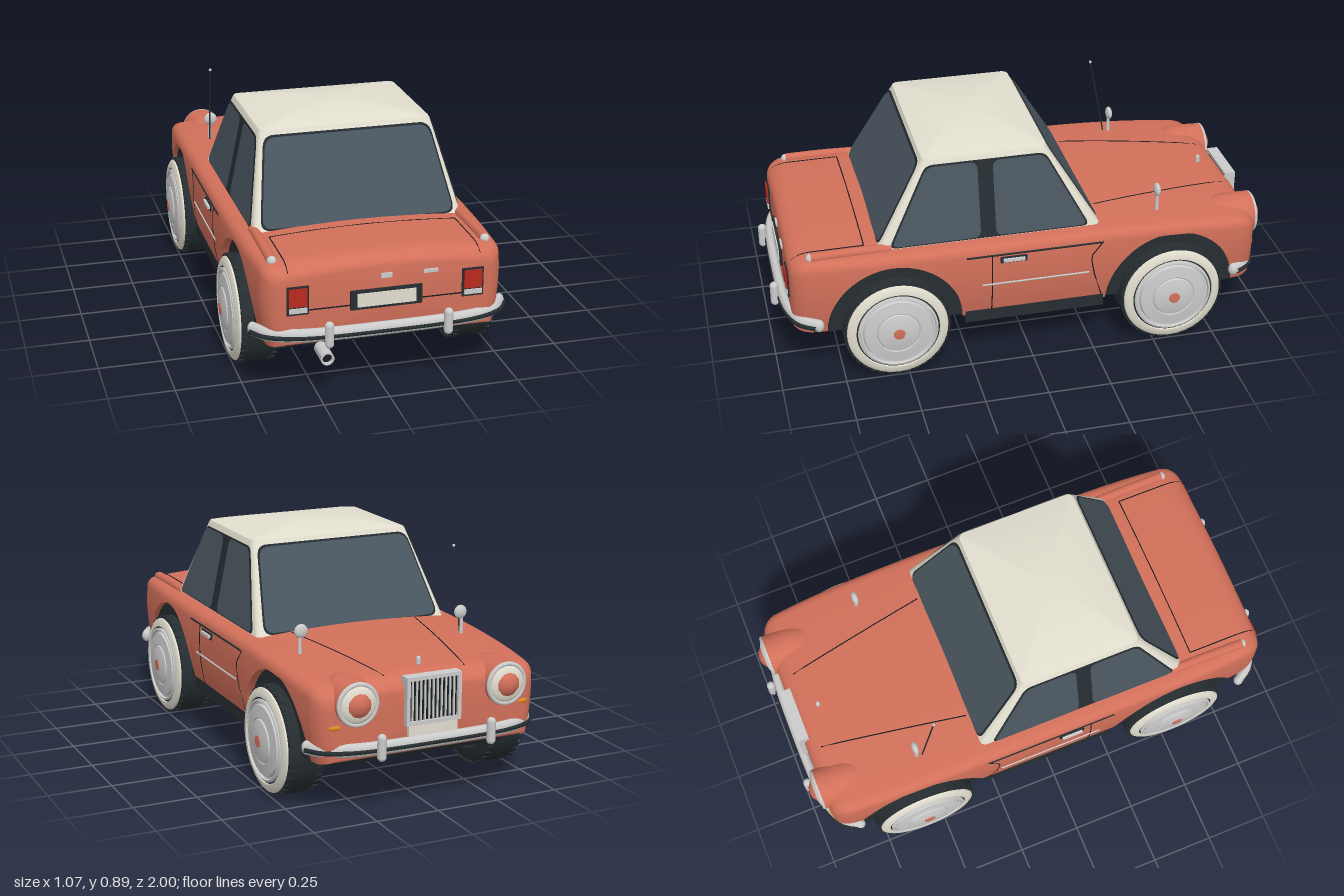
import * as THREE from 'three';
import { toCreasedNormals } from 'three/addons/utils/BufferGeometryUtils.js';

const mat = (color) => new THREE.MeshStandardMaterial({ color, side: THREE.DoubleSide });
const PAINT = mat(0xd2705a), CREAM = mat(0xe2decf), GLASS = mat(0x4a565f), DARK = mat(0x262d30),
  BLACK = mat(0x171c1e), CHROME = mat(0xcccccc), RED = mat(0xb92a20), AMBER = mat(0xe08a20);
const V = (x, y, z) => new THREE.Vector3(x, y, z);
const WHEEL_Y = 0.21, AXLES = [0.54, -0.57], ARCH = 0.265;
const lerp = THREE.MathUtils.lerp;

// Body shape rules: end rounding, half width, height, lower edge
const endT = (z) => Math.min(1, Math.max(0, (Math.abs(z) - 0.85) / 0.085));
const inset = (z) => 1 - Math.sqrt(1 - endT(z) ** 2);
const halfW = (z) => 0.478 - 0.02 * Math.min(1, Math.abs(z) / 0.85) ** 4 - 0.07 * inset(z);
const crownY = (z) => (z < -0.2 ? 0.54 - 0.03 * ((z + 0.2) / 0.65) ** 2 : 0.54) - 0.05 * inset(z);
const sideX = (y, z) => halfW(z) * (1 - 0.05 * ((y - 0.4) / 0.19) ** 2);
const topY = (x, z) => crownY(z) - 0.02 * (x / (halfW(z) - 0.04)) ** 2;
const lowY = (z) => {
  let y = 0.205 + 0.025 * inset(z);
  for (const c of AXLES) {
    const d = Math.abs(z - c);
    if (d < ARCH - 1e-4) y = Math.max(y, WHEEL_Y + Math.sqrt(ARCH * ARCH - d * d));
  }
  return Math.min(y, crownY(z) - 0.062);
};

// Skin a list of equal-length rings
function loft(rings, crease = 0.7) {
  const n = rings[0].length, pos = [], idx = [];
  rings.forEach((r) => r.forEach((p) => pos.push(p.x, p.y, p.z)));
  for (let i = 0; i < rings.length - 1; i++) for (let j = 0; j < n; j++) {
    const a = i * n + j, b = i * n + (j + 1) % n;
    idx.push(a, b, b + n, a, b + n, a + n);
  }
  const g = new THREE.BufferGeometry();
  g.setAttribute('position', new THREE.Float32BufferAttribute(pos, 3));
  g.setIndex(idx);
  return toCreasedNormals(g, crease);
}

function bodyRing(z) {
  const y0 = lowY(z), y1 = crownY(z) - 0.06, half = [V(0, y0, z)];
  for (let i = 0; i <= 6; i++) { const y = lerp(y0, y1, i / 6); half.push(V(sideX(y, z), y, z)); }
  const x1 = sideX(y1, z);
  for (let i = 1; i <= 5; i++) {
    const a = (i / 5) * Math.PI / 2;
    half.push(V(x1 - 0.04 * (1 - Math.cos(a)), y1 + 0.04 * Math.sin(a), z));
  }
  for (let i = 1; i <= 5; i++) { const x = (x1 - 0.04) * (1 - i / 5); half.push(V(x, topY(x, z), z)); }
  return half.concat(half.slice(1, -1).reverse().map((p) => V(-p.x, p.y, p.z)));
}

function bodyGeometry() {
  const zs = [];
  for (let i = 0; i <= 8; i++) { const e = 0.85 + 0.085 * Math.sin(i / 8 * Math.PI / 2); zs.push(e, -e); }
  for (const c of AXLES) for (let i = 0; i <= 28; i++) zs.push(c + ARCH * Math.cos(i / 28 * Math.PI));
  for (const c of AXLES) zs.push(c + ARCH - 0.0003, c - ARCH + 0.0003);
  for (let i = -5; i <= 4; i++) zs.push(i * 0.05);
  zs.sort((a, b) => a - b);
  const rings = zs.map(bodyRing);
  const cap = (r) => r.map((p) => V(0, 0.36, p.z));
  return loft([cap(rings[0]), ...rings, cap(rings[rings.length - 1])]);
}

// Cabin: tapered box with a domed roof
const cabT = (y) => (y - 0.52) / 0.335;
const cabX = (y) => lerp(0.41, 0.34, cabT(y));
const cabRear = (y) => lerp(0.59, 0.4, cabT(y));
const cabFront = (y) => lerp(-0.29, -0.085, cabT(y));
function cabinGeometry() {
  const ring = (yw, y, s) => {
    const w = cabX(yw), zc = (cabRear(yw) + cabFront(yw)) / 2, l = (cabRear(yw) - cabFront(yw)) / 2, r = 0.025, pts = [];
    [[1, 1], [-1, 1], [-1, -1], [1, -1]].forEach(([sx, sz], q) => {
      for (let k = 0; k <= 4; k++) {
        const a = (q + k / 4) * Math.PI / 2;
        pts.push(V(s * (sx * (w - r) + r * Math.cos(a)), y, zc - s * (sz * (l - r) + r * Math.sin(a))));
      }
    });
    return pts;
  };
  const rings = [ring(0.48, 0.48, 1), ring(0.848, 0.848, 1)];
  for (const s of [0.985, 0.9, 0.75, 0.55, 0.3, 0]) rings.push(ring(0.848, 0.857 + 0.036 * (1 - s * s), s));
  return loft(rings, 0.6);
}

// Polygon with rounded corners, laid on a surface by a mapping rule
function panel(points, r, map) {
  const s = new THREE.Shape(), P = points.map((p) => new THREE.Vector2(...p)), n = P.length;
  P.forEach((p, i) => {
    const toward = (q) => p.clone().add(q.clone().sub(p).setLength(r));
    const a = toward(P[(i + n - 1) % n]), b = toward(P[(i + 1) % n]);
    if (i) s.lineTo(a.x, a.y); else s.moveTo(a.x, a.y);
    s.quadraticCurveTo(p.x, p.y, b.x, b.y);
  });
  s.closePath();
  const g = new THREE.ShapeGeometry(s, 6), pos = g.attributes.position;
  for (let i = 0; i < pos.count; i++) pos.setXYZ(i, ...map(pos.getX(i), pos.getY(i)));
  g.computeVertexNormals();
  return g;
}

const tube = (pts, r, n = 32, sides = 8) => new THREE.TubeGeometry(new THREE.CatmullRomCurve3(pts), n, r, sides);
const line = (pts, r = 0.0025) => {
  const path = new THREE.CurvePath();
  for (let i = 0; i < pts.length - 1; i++) path.add(new THREE.LineCurve3(pts[i], pts[i + 1]));
  return new THREE.TubeGeometry(path, (pts.length - 1) * 4, r, 5);
};
const box = (w, h, d) => new THREE.BoxGeometry(w, h, d);
const ball = (r) => new THREE.SphereGeometry(r, 24, 16);
const lathe = (pts) => toCreasedNormals(new THREE.LatheGeometry(pts.map((p) => new THREE.Vector2(...p)), 48), 0.6);

function makeWheel() {
  const g = new THREE.Group();
  const part = (name, geo, m) => { const o = new THREE.Mesh(geo, m); o.name = name; o.rotation.z = -Math.PI / 2; g.add(o); };
  part('tyre', lathe([[0, -0.06], [0.13, -0.06], [0.15, -0.079], [0.18, -0.079], [0.2, -0.068], [0.209, -0.045],
    [0.21, 0], [0.209, 0.045], [0.202, 0.066], [0.185, 0.077], [0.15, 0.079], [0.14, 0.06], [0, 0.06]]), DARK);
  part('whitewall', lathe([[0.163, 0.079], [0.165, 0.084], [0.182, 0.083], [0.197, 0.074], [0.199, 0.068]]), CREAM);
  part('rim', lathe([[0.158, 0.07], [0.157, 0.085], [0.149, 0.088], [0.146, 0.078], [0.138, 0.078], [0.134, 0.088],
    [0.088, 0.094], [0.084, 0.091], [0.08, 0.097], [0.05, 0.104], [0, 0.106]]), CHROME);
  part('hubBadge', lathe([[0.024, 0.1], [0.022, 0.108], [0, 0.11]]), PAINT);
  for (let i = 0; i < 36; i++) { // tread blocks on both shoulders
    const a = i / 36 * Math.PI * 2;
    for (const x of [-0.058, 0.052]) {
      const b = new THREE.Mesh(box(0.03, 0.006, 0.022), DARK);
      b.name = 'tread'; b.position.set(x, 0.206 * Math.cos(a), 0.206 * Math.sin(a)); b.rotation.x = a; g.add(b);
    }
  }
  return g;
}

export function createModel() {
  const car = new THREE.Group();
  car.name = 'car';
  const add = (name, geo, m, x = 0, y = 0, z = 0) => {
    const o = new THREE.Mesh(geo, m); o.name = name; o.position.set(x, y, z); car.add(o); return o;
  };
  add('body', bodyGeometry(), PAINT);
  add('cabin', cabinGeometry(), CREAM);
  add('floor', box(0.7, 0.05, 1.7), BLACK, 0, 0.2, 0);
  add('floorMiddle', box(0.86, 0.05, 0.56), BLACK, 0, 0.2, -0.015);

  // Windscreen and rear window
  const screen = [[-0.375, 0.535], [0.375, 0.535], [0.322, 0.835], [-0.322, 0.835]];
  const border = [[-0.383, 0.528], [0.383, 0.528], [0.328, 0.842], [-0.328, 0.842]];
  for (const [name, fz, s] of [['rearWindow', cabRear, 1], ['windscreen', cabFront, -1]]) {
    add(name + 'Seal', panel(border, 0.04, (x, y) => [s * x, y, fz(y) + s * 0.003]), DARK);
    add(name, panel(screen, 0.04, (x, y) => [s * x, y, fz(y) + s * 0.007]), GLASS);
  }

  for (const s of [1, -1]) {
    // Side windows
    const onSide = (d) => (z, y) => [s * (cabX(y) + d), y, z];
    add('sideWindowSeal', panel([[0.55, 0.525], [-0.245, 0.525], [-0.078, 0.835], [0.39, 0.835]], 0.03, onSide(0.003)), DARK);
    add('rearSideWindow', panel([[0.54, 0.531], [0.19, 0.531], [0.19, 0.829], [0.386, 0.829]], 0.03, onSide(0.007)), GLASS);
    add('doorWindow', panel([[0.13, 0.531], [-0.235, 0.531], [-0.074, 0.829], [0.13, 0.829]], 0.03, onSide(0.007)), GLASS);

    // Wheels and wheel wells
    for (const z of AXLES) {
      const w = makeWheel();
      w.name = 'wheel'; w.position.set(s * 0.426, WHEEL_Y, z); w.rotation.y = s > 0 ? 0 : Math.PI; car.add(w);
      const well = new THREE.CylinderGeometry(0.263, 0.263, 0.12, 40, 1, false, 0, Math.PI);
      well.rotateZ(Math.PI / 2).rotateX(0);
      add('wheelWell', well, DARK, s * 0.388, WHEEL_Y, z);
    }

    // Sill, door seams, trims and handle
    add('sill', box(0.05, 0.05, 0.56), DARK, s * 0.435, 0.2, -0.015);
    const side = (y, z, d = 0) => V(s * (sideX(y, z) + d), y, z);
    const run = (y, z0, z1) => Array.from({ length: 9 }, (_, i) => side(y, lerp(z0, z1, i / 8), 0.001));
    add('doorSeam', line([0.48, 0.42, 0.36, 0.3, 0.22].map((y) => side(y, 0.16))), BLACK);
    add('doorSeam', line([[0.48, -0.285], [0.42, -0.235], [0.34, -0.25], [0.23, -0.285]].map(([y, z]) => side(y, z))), BLACK);
    add('beltTrim', line(run(0.478, 0.26, -0.28), 0.004), DARK);
    add('sideTrim', line(run(0.35, 0.2, -0.23), 0.004), CHROME);
    add('handlePlate', box(0.012, 0.026, 0.105), DARK, s * 0.474, 0.455, 0.075);
    add('doorHandle', box(0.014, 0.012, 0.085), CHROME, s * 0.483, 0.456, 0.075);

    // Rear fender fins with bright tips
    add('fin', tube([V(s * 0.4, 0.522, 0.54), V(s * 0.402, 0.526, 0.7), V(s * 0.404, 0.524, 0.85)], 0.019, 12, 12), PAINT);
    add('finTip', ball(0.018), CHROME, s * 0.404, 0.524, 0.85);

    // Bonnet and boot seams
    const over = (x0, z0, x1, z1) => Array.from({ length: 9 }, (_, i) => {
      const x = lerp(x0, x1, i / 8), z = lerp(z0, z1, i / 8);
      return V(s * x, topY(x, z), z);
    });
    add('bonnetSeam', line(over(0.165, -0.88, 0.27, -0.3)), BLACK);
    add('bootSeam', line([...over(0.362, 0.64, 0.362, 0.92), V(s * 0.362, 0.355, 0.936)]), BLACK);

    // Headlights and indicators
    add('headlightPod', ball(0.086), PAINT, s * 0.305, 0.432, -0.85).scale.z = 1.6;
    const shell = new THREE.CylinderGeometry(0.083, 0.086, 0.09, 32).rotateX(-Math.PI / 2);
    add('headlightShell', shell, PAINT, s * 0.305, 0.432, -0.905);
    add('headlightRing', new THREE.TorusGeometry(0.075, 0.009, 10, 36), CHROME, s * 0.305, 0.432, -0.95);
    add('headlightLens', ball(0.072), CREAM, s * 0.305, 0.432, -0.95).scale.z = 0.3;
    add('indicator', ball(0.02), AMBER, s * 0.385, 0.35, -0.925).scale.set(1.4, 0.7, 0.7);

    // Wing mirrors
    add('mirrorStem', new THREE.CylinderGeometry(0.006, 0.008, 0.08, 10), CHROME, s * 0.345, 0.555, -0.54);
    add('mirror', ball(0.027), CHROME, s * 0.34, 0.605, -0.54).scale.z = 0.5;

    // Tail lights
    add('tailLightFrame', box(0.082, 0.11, 0.02), DARK, s * 0.33, 0.396, 0.931);
    for (let i = 0; i < 3; i++) add('tailLight', box(0.068, 0.022, 0.026), RED, s * 0.33, 0.385 + i * 0.024, 0.934);
    add('reverseLight', box(0.068, 0.018, 0.026), CHROME, s * 0.33, 0.359, 0.934);
  }

  // Bumpers with dark strips and overriders
  for (const [name, e, w] of [['rearBumper', 1, 0.475], ['frontBumper', -1, 0.455]]) {
    const path = (d) => [[-1, 0.84], [-0.91, 0.9], [-0.7, 0.94], [0, 0.956], [0.7, 0.94], [0.91, 0.9], [1, 0.84]]
      .map(([x, z]) => V(x * (w + d), 0, e * (z + d)));
    add(name, tube(path(0), 0.019, 48, 12), CHROME, 0, 0.26, 0).scale.y = 1.4;
    add(name + 'Strip', tube(path(0.014), 0.009, 48, 8), DARK, 0, 0.256, 0);
    for (const s of [1, -1]) {
      add(name + 'End', ball(0.019), CHROME, s * w, 0.26, e * 0.84).scale.y = 1.4;
      add('overrider', new THREE.CapsuleGeometry(0.017, 0.07, 6, 14), CHROME, s * 0.225, 0.27, e * 0.983);
      add('bumperBracket', box(0.03, 0.03, 0.08), DARK, s * 0.225, 0.255, e * 0.92);
    }
  }

  // Boot lid, number plate and badges
  add('bootSeam', box(0.724, 0.004, 0.006), BLACK, 0, 0.355, 0.935);
  add('bootSeam', line([-0.362, -0.2, 0, 0.2, 0.362].map((x) => V(x, topY(x, 0.64), 0.64))), BLACK);
  add('plateFrame', box(0.27, 0.074, 0.02), DARK, 0, 0.374, 0.935);
  add('rearPlate', box(0.222, 0.052, 0.01), CREAM, 0, 0.374, 0.944);
  add('badge', box(0.042, 0.018, 0.012), CHROME, 0, 0.459, 0.936);
  add('badge', box(0.056, 0.013, 0.012), CHROME, 0.168, 0.459, 0.936);

  // Grille, front plate and bonnet ornament
  add('grilleBack', box(0.2, 0.16, 0.03), BLACK, 0, 0.415, -0.93);
  for (const s of [1, -1]) {
    add('grilleFrame', box(0.014, 0.18, 0.045), CHROME, s * 0.105, 0.415, -0.935);
    add('grilleFrame', box(0.224, 0.014, 0.045), CHROME, 0, 0.415 + s * 0.084, -0.935);
  }
  for (let i = -5; i <= 5; i++) add('grilleBar', box(0.006, 0.16, 0.02), CHROME, i * 0.017, 0.415, -0.942);
  add('frontPlate', box(0.2, 0.045, 0.015), CREAM, 0, 0.308, -0.945);
  add('ornament', new THREE.CapsuleGeometry(0.009, 0.02, 6, 12), CHROME, 0, 0.525, -0.83);

  // Aerial and exhaust
  add('aerial', line([V(-0.35, 0.51, -0.52), V(-0.353, 0.85, -0.455)], 0.003), DARK);
  add('aerialTip', ball(0.006), CHROME, -0.353, 0.85, -0.455);
  const pipe = lathe([[0.019, 0.03], [0.019, 0.05], [0.025, 0.05], [0.025, -0.05], [0, -0.05]]).rotateX(Math.PI / 2);
  add('exhaust', pipe, CHROME, -0.225, 0.162, 0.91);
  add('exhaustBore', new THREE.CircleGeometry(0.02, 20), BLACK, -0.225, 0.162, 0.945);
  add('exhaustPipe', tube([V(-0.225, 0.162, 0.87), V(-0.225, 0.17, 0.8), V(-0.225, 0.19, 0.7)], 0.015, 10), DARK);
  return car;
}
